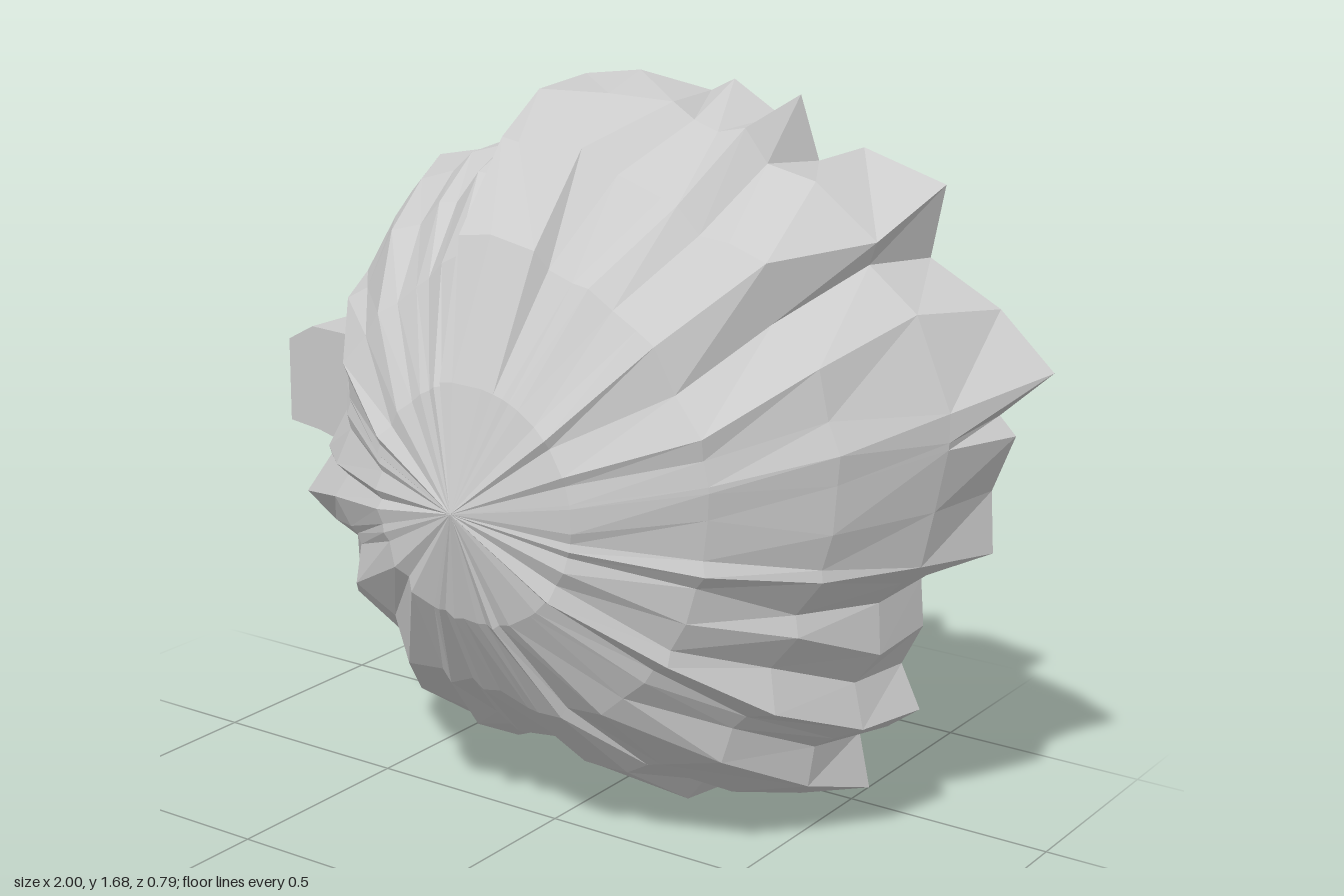
import * as THREE from 'three';

const CX = 0.01, CY = 0.84, BACK = -0.4;

// Jagged rim of the flat back, counterclockwise, as x, y pairs
const RIM = [
  1, 1.13, 0.87, 1.25, 0.7, 1.34, 0.73, 1.5, 0.53, 1.56, 0.42, 1.52, 0.37, 1.66, 0.32, 1.61,
  0.2, 1.68, 0.14, 1.65, -0.05, 1.68, -0.2, 1.66, -0.2, 1.61, -0.24, 1.55, -0.31, 1.51,
  -0.39, 1.5, -0.48, 1.46, -0.63, 1.43, -0.72, 1.33, -0.78, 1.23, -0.79, 1.14, -0.72, 1.06,
  -0.72, 1.02, -0.9, 1, -1, 0.95, -1, 0.74, -0.88, 0.74, -0.77, 0.7, -0.75, 0.58, -0.68, 0.55,
  -0.72, 0.47, -0.7, 0.31, -0.55, 0.25, -0.48, 0.06, -0.31, 0.06, -0.27, 0.03, -0.2, 0.09,
  -0.13, 0.07, -0.04, 0.11, 0.05, 0.04, 0.15, 0, 0.23, 0.01, 0.26, 0.05, 0.42, 0.03,
  0.6, 0.09, 0.57, 0.22, 0.64, 0.25, 0.72, 0.31, 0.67, 0.41, 0.72, 0.51, 0.71, 0.62,
  0.79, 0.68, 0.88, 0.71, 0.87, 0.85, 0.92, 0.98, 0.88, 1.02,
];

// Rings from apex to rim: polar angle in degrees, mean radius,
// how much they follow the rim, roughness
const RINGS = [
  { angle: 20, radius: 0.765, follow: 0.15, rough: 0.025 },
  { angle: 41, radius: 0.755, follow: 0.35, rough: 0.035 },
  { angle: 60, radius: 0.77, follow: 0.6, rough: 0.035 },
  { angle: 77, radius: 0.795, follow: 0.8, rough: 0.025 },
];

// Broad swellings and hollows: azimuth and width in degrees, height on each ring
const LUMPS = [
  { at: 92, width: 14, heights: [0.02, 0.1, 0.08, 0.02] },
  { at: 153, width: 18, heights: [0, -0.02, -0.05, -0.05] },
  { at: 192, width: 8, heights: [0, 0.02, 0.1, 0.02] },
  { at: 37, width: 6, heights: [0, 0, -0.04, -0.03] },
];

function seeded(seed) {
  return () => {
    seed = (seed * 16807) % 2147483647;
    return seed / 2147483647;
  };
}

function swelling(azimuth, level) {
  const degrees = (THREE.MathUtils.radToDeg(azimuth) + 360) % 360;
  return LUMPS.reduce((sum, { at, width, heights }) =>
    sum + heights[level] * Math.exp(-(((degrees - at) / width) ** 2)), 0);
}

function createShell(rim) {
  const random = seeded(4711);
  const n = rim.length;
  const ridge = rim.map((_, i) => (i % 2 ? 0.4 : -0.4) + random() * 1.2 - 0.6);
  const rings = RINGS.map(({ angle, radius, follow, rough }, level) => {
    const polar = THREE.MathUtils.degToRad(angle);
    return rim.map((p, i) => {
      // Slide towards a neighbouring spoke so some ridges become narrow and steep
      const slide = random() * 0.8 - 0.4;
      const q = p.clone().lerp(rim[(i + (slide > 0 ? 1 : n - 1)) % n], Math.abs(slide));
      const dx = q.x - CX, dy = q.y - CY;
      const azimuth = Math.atan2(dy, dx);
      // The side spur is a separate part, so the dome stays round there
      const reach = q.x < -0.8 ? 0.76 : Math.min(Math.hypot(dx, dy), 0.95);
      const bump = rough * (ridge[i] + random() * 0.8 - 0.4);
      const f = radius * (1 + (reach / 0.8 - 1) * follow + bump) + swelling(azimuth, level);
      const r = f * Math.sin(polar);
      // Depth varies less than reach, which keeps long ridges low
      const z = BACK + (radius + (f - radius) * 0.5) * Math.cos(polar);
      return [CX + r * Math.cos(azimuth), CY + r * Math.sin(azimuth), z];
    });
  });
  rings.push(rim.map((p) => [p.x, p.y, BACK]));

  const positions = [CX, CY, 0.39];
  const index = [];
  rings.forEach((ring, level) => {
    ring.forEach((v, i) => {
      positions.push(...v);
      const next = (i + 1) % n;
      const outer = 1 + level * n, inner = outer - n;
      if (level === 0) {
        index.push(0, outer + i, outer + next);
      } else {
        index.push(inner + i, outer + i, outer + next);
        index.push(inner + i, outer + next, inner + next);
      }
    });
  });
  const geometry = new THREE.BufferGeometry();
  geometry.setAttribute('position', new THREE.Float32BufferAttribute(positions, 3));
  geometry.setIndex(index);
  const flat = geometry.toNonIndexed();
  flat.computeVertexNormals();
  return flat;
}

// Flat spur sticking out sideways, its front sloping down to the tip
function createSpur() {
  const shape = new THREE.Shape([
    [-0.69, 1.01], [-0.9, 1], [-1, 0.95], [-1, 0.74], [-0.88, 0.74], [-0.69, 0.72],
  ].map(([x, y]) => new THREE.Vector2(x, y)));
  const geometry = new THREE.ExtrudeGeometry(shape, { depth: 0.15, bevelEnabled: false });
  geometry.translate(0, 0, BACK);
  const pos = geometry.attributes.position;
  for (let i = 0; i < pos.count; i++) {
    if (pos.getZ(i) > BACK + 0.1) pos.setZ(i, -0.25 + (pos.getX(i) + 1) * 0.26);
  }
  geometry.computeVertexNormals();
  return geometry;
}

function createBackPlate(rim) {
  const shape = new THREE.Shape(rim);
  // Square opening into the hollow shell
  const h = 0.2;
  shape.holes.push(new THREE.Path([
    new THREE.Vector2(CX - h, CY - h),
    new THREE.Vector2(CX - h, CY + h),
    new THREE.Vector2(CX + h, CY + h),
    new THREE.Vector2(CX + h, CY - h),
  ]));
  return new THREE.ShapeGeometry(shape).translate(0, 0, BACK);
}

export function createModel() {
  const group = new THREE.Group();
  group.name = 'hollowRockDome';
  const material = new THREE.MeshStandardMaterial({
    color: 0xcccccc, flatShading: true, side: THREE.DoubleSide,
  });
  const rim = [];
  for (let i = 0; i < RIM.length; i += 2) rim.push(new THREE.Vector2(RIM[i], RIM[i + 1]));

  const parts = {
    ridgedShell: createShell(rim),
    sideSpur: createSpur(),
    backPlate: createBackPlate(rim),
  };
  for (const [name, geometry] of Object.entries(parts)) {
    const mesh = new THREE.Mesh(geometry, material);
    mesh.name = name;
    group.add(mesh);
  }
  return group;
}
